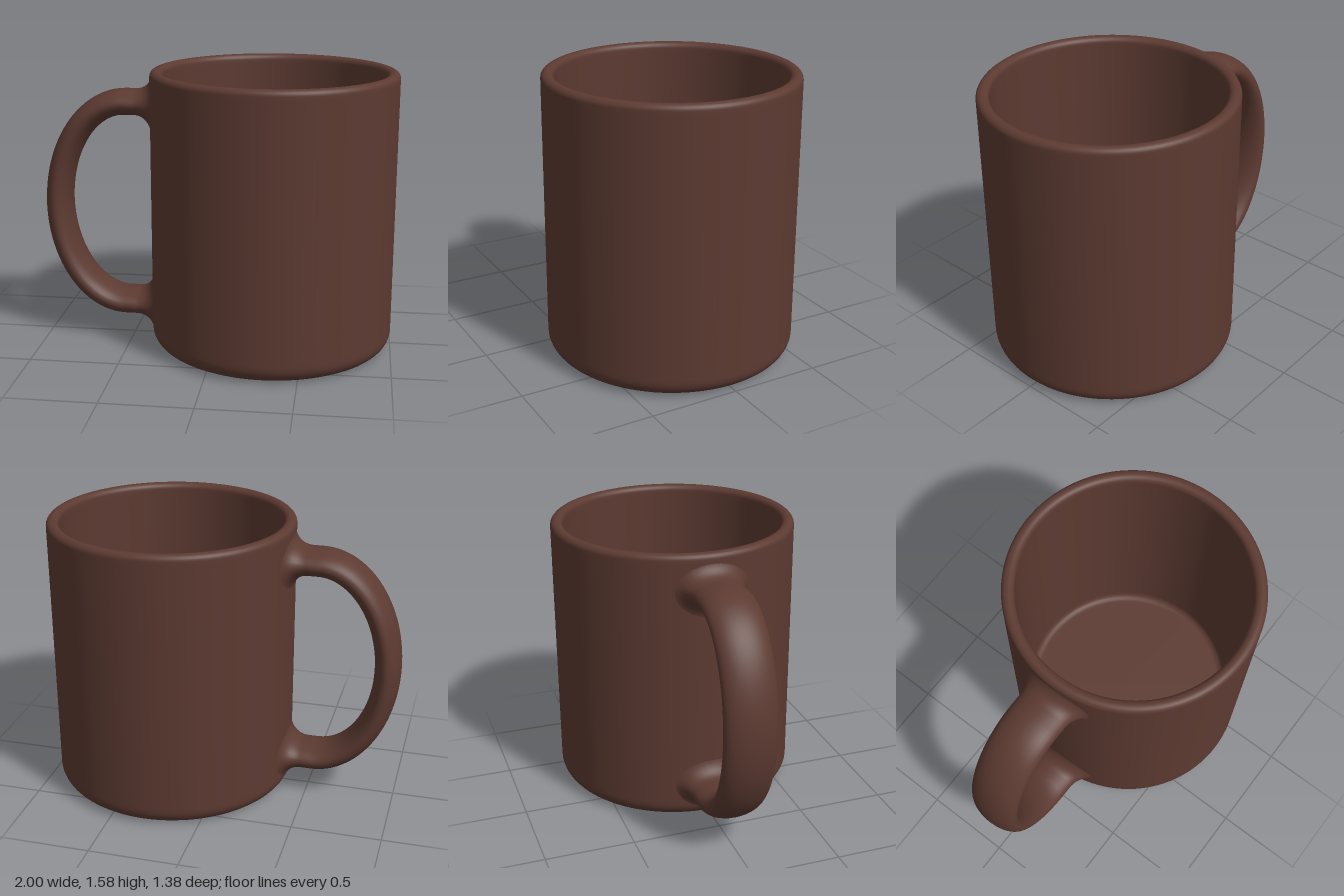
import * as THREE from 'three';

const CX = 0.31, R = 0.69, H = 1.58;   // body axis, outer radius, height
const FOOT = 0.095, LIP = 0.032;       // rounding radii at base and rim

// Points of an arc in the body profile
function arc(cx, cy, r, from, to, steps) {
  const pts = [];
  for (let i = 0; i <= steps; i++) {
    const t = from + (to - from) * i / steps;
    pts.push(new THREE.Vector2(cx + r * Math.cos(t), cy + r * Math.sin(t)));
  }
  return pts;
}

// Outer radius of the body at a height, including the rounded edges
function bodyRadius(y) {
  const round = (d, r) => R - r + Math.sqrt(Math.max(0, r * r - d * d));
  if (y < FOOT) return round(FOOT - y, FOOT);
  if (y > H - LIP) return round(y - H + LIP, LIP);
  return R;
}

// Hollow cup turned from one profile
function buildBody(material) {
  const P = Math.PI, inner = 0.62, floor = 0.09;
  const profile = [
    new THREE.Vector2(0, 0),
    new THREE.Vector2(R - FOOT - 0.02, 0),
    ...arc(R - FOOT, FOOT, FOOT, -P / 2, 0, 8),
    new THREE.Vector2(R, FOOT + 0.02),
    new THREE.Vector2(R, H - LIP - 0.02),
    ...arc(R - LIP, H - LIP, LIP, 0, P / 2, 6),
    ...arc(inner + LIP, H - LIP, LIP, P / 2, P, 6),
    new THREE.Vector2(inner, H - LIP - 0.02),
    new THREE.Vector2(inner, floor + 0.06),
    ...arc(inner - 0.04, floor + 0.04, 0.04, 0, -P / 2, 5),
    new THREE.Vector2(inner - 0.06, floor),
    new THREE.Vector2(0, floor),
  ];
  const mesh = new THREE.Mesh(new THREE.LatheGeometry(profile, 96), material);
  mesh.position.x = CX;
  mesh.name = 'cupBody';
  return mesh;
}

// Oval-section handle, flaring where it meets the body
function buildHandle(material) {
  const hx = -0.53, hy = 0.795, rx = 0.397, ry = 0.59;
  const a0 = 0.073, b0 = 0.147, SIDES = 32, ARC = 56, FLARE = 10;
  const stations = [];

  const flare = (sign, k) => {
    const phi = k * Math.PI / 2, g = 1 - Math.cos(phi);
    return {
      x: -0.47 + 0.095 * Math.sin(phi), y: hy + sign * (ry - 0.012 * g),
      nx: 0, ny: sign, a: a0 + 0.11 * g, b: b0 + 0.08 * g, wrap: Math.sin(phi),
    };
  };
  for (let i = FLARE; i >= 0; i--) stations.push(flare(1, i / FLARE));
  for (let i = 0; i <= ARC; i++) {
    const t = Math.PI / 2 + Math.PI * i / ARC;
    const n = new THREE.Vector2(ry * Math.cos(t), rx * Math.sin(t)).normalize();
    stations.push({
      x: hx + rx * Math.cos(t), y: hy + ry * Math.sin(t),
      nx: n.x, ny: n.y, a: a0, b: b0, wrap: 0,
    });
  }
  for (let i = 0; i <= FLARE; i++) stations.push(flare(-1, i / FLARE));

  const pos = [], index = [];
  stations.forEach((s, i) => {
    for (let j = 0; j < SIDES; j++) {
      const t = j / SIDES * Math.PI * 2;
      const u = s.a * Math.cos(t), z = s.b * Math.sin(t), y = s.y + s.ny * u;
      // Follow the curved body surface towards the ends
      const r = bodyRadius(y);
      const shift = R - Math.sqrt(r * r - z * z);
      pos.push(s.x + s.nx * u + s.wrap * shift, y, z);
      if (i < stations.length - 1) {
        const k = (j + 1) % SIDES, p = i * SIDES, q = p + SIDES;
        index.push(p + j, q + j, p + k, p + k, q + j, q + k);
      }
    }
  });
  const geo = new THREE.BufferGeometry();
  geo.setAttribute('position', new THREE.Float32BufferAttribute(pos, 3));
  geo.setIndex(index);
  geo.computeVertexNormals();
  const mesh = new THREE.Mesh(geo, material);
  mesh.name = 'handle';
  return mesh;
}

export function createModel() {
  const brown = new THREE.MeshStandardMaterial({ color: 0x5c3a31 });
  brown.name = 'brown glaze';
  const mug = new THREE.Group();
  mug.name = 'mug';
  mug.add(buildBody(brown), buildHandle(brown));
  return mug;
}
